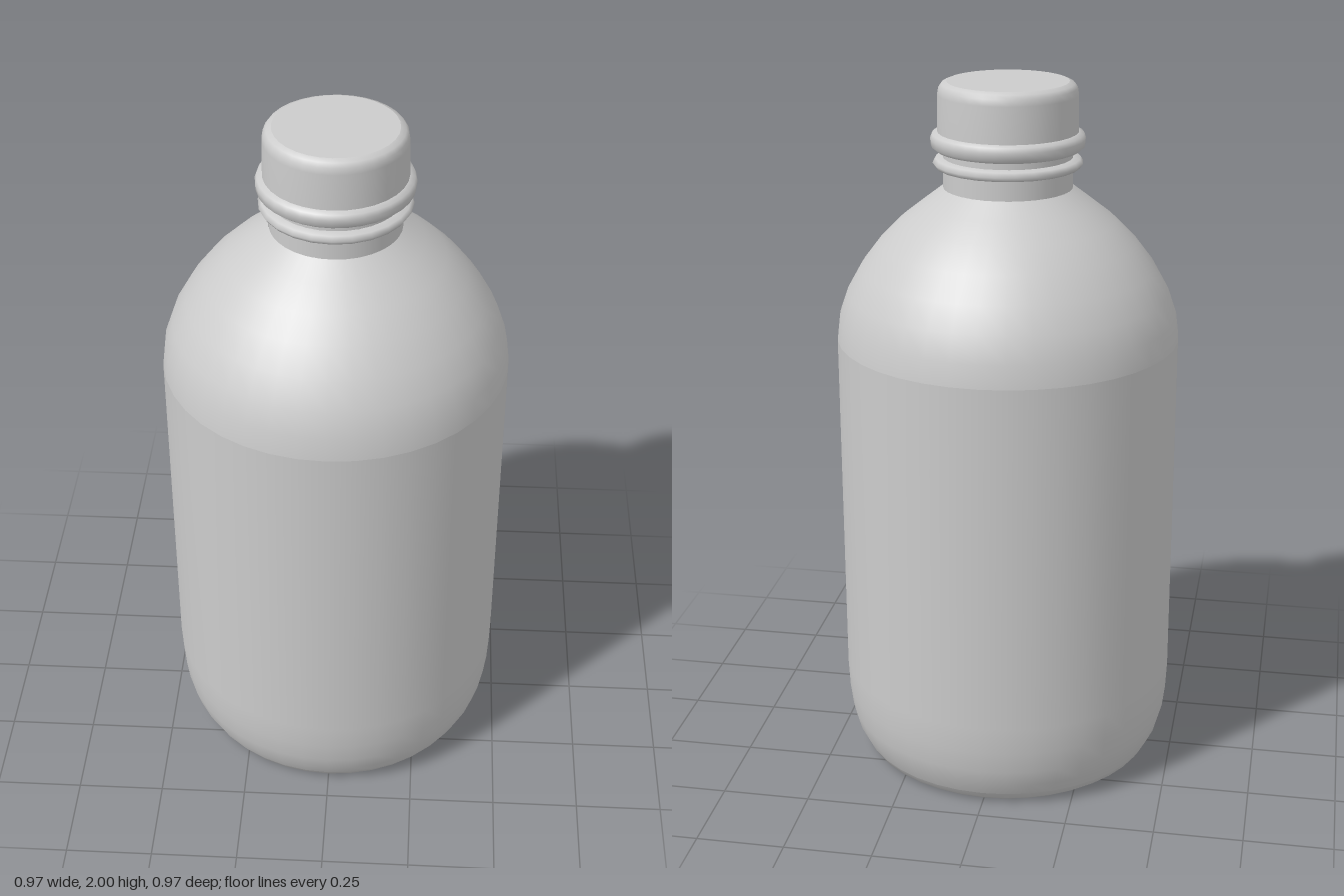
import * as THREE from 'three';
import { mergeGeometries } from 'three/addons/utils/BufferGeometryUtils.js';

const material = new THREE.MeshStandardMaterial({ color: 0xcccccc, side: THREE.DoubleSide });

// Revolves several profile strips [radius, height]; edges between strips stay sharp.
function turned(name, sides, ...strips) {
  const parts = strips.map(strip =>
    new THREE.LatheGeometry(strip.map(([r, y]) => new THREE.Vector2(r, y)), sides));
  const mesh = new THREE.Mesh(mergeGeometries(parts), material);
  mesh.name = name;
  return mesh;
}

export function createModel() {
  const bottle = new THREE.Group();
  bottle.name = 'bottle';

  // Flat underside and rounded foot
  bottle.add(turned('base', 40,
    [[0, 0.005], [0.39, 0.005]],
    [[0.39, 0.005], [0.405, 0], [0.425, 0.015], [0.438, 0.035]]));

  // Straight wall curving in to the foot
  bottle.add(turned('body', 40,
    [[0.438, 0.035], [0.458, 0.075], [0.472, 0.125], [0.48, 0.19], [0.484, 0.27], [0.484, 1.28]]));

  // Domed shoulder up to the neck
  bottle.add(turned('shoulder', 40,
    [[0.484, 1.28], [0.476, 1.345], [0.452, 1.415], [0.413, 1.485],
      [0.36, 1.555], [0.3, 1.615], [0.24, 1.662], [0.18, 1.708]]));

  // Neck with its thin collar
  bottle.add(turned('neck', 32, [[0.18, 1.7], [0.18, 1.84]]));
  bottle.add(turned('neckCollar', 24,
    [[0.18, 1.762], [0.2, 1.766], [0.208, 1.778], [0.2, 1.79], [0.18, 1.794]]));

  // Screw cap: tamper band, side wall, rounded rim and flat top
  bottle.add(turned('cap', 32,
    [[0.175, 1.815], [0.2, 1.815]],
    [[0.2, 1.815], [0.212, 1.825], [0.214, 1.845], [0.209, 1.858], [0.195, 1.864]],
    [[0.195, 1.864], [0.193, 1.965], [0.19, 1.983], [0.182, 1.994], [0.168, 2]],
    [[0.168, 2], [0, 2]]));

  return bottle;
}
